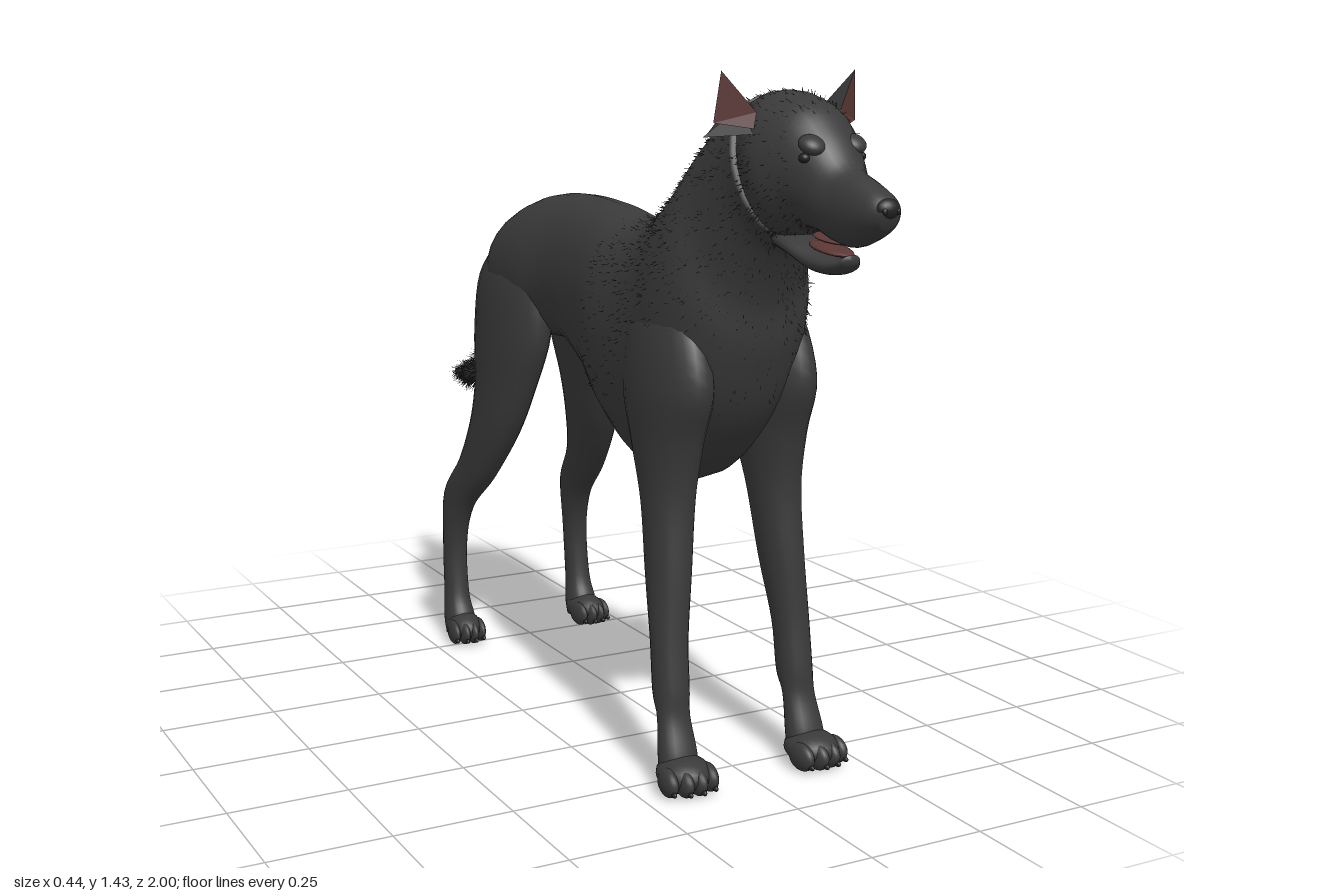
import * as THREE from 'three';

const paint = (name, color, extra = {}) => {
  const m = new THREE.MeshStandardMaterial({ color, ...extra });
  m.name = name;
  return m;
};

// Loft through sections [yA, zA, yB, zB, x, halfWidth]: each ring spans edge point A to edge point B.
function loft(sections, steps = 5, sides = 28) {
  const curve = f => new THREE.CatmullRomCurve3(sections.map(f), false, 'catmullrom', 0.5);
  const edgeA = curve(s => new THREE.Vector3(s[4], s[0], s[1]));
  const edgeB = curve(s => new THREE.Vector3(s[4], s[2], s[3]));
  const width = curve(s => new THREE.Vector3(s[5], 0, 0));
  const rings = (sections.length - 1) * steps, pos = [], idx = [];
  const mids = [];
  for (let i = 0; i <= rings; i++) {
    const t = i / rings, a = edgeA.getPoint(t), b = edgeB.getPoint(t), w = width.getPoint(t).x;
    const mid = a.clone().add(b).multiplyScalar(0.5), half = a.sub(b).multiplyScalar(0.5);
    mids.push(mid);
    for (let j = 0; j < sides; j++) {
      const q = j / sides * Math.PI * 2, c = Math.cos(q), s = Math.sin(q);
      const cx = Math.sign(c) * Math.abs(c) ** 0.88;
      pos.push(mid.x + cx * w, mid.y + half.y * s, mid.z + half.z * s);
    }
  }
  for (let i = 0; i < rings; i++) for (let j = 0; j < sides; j++) {
    const k = (j + 1) % sides, a = i * sides + j, b = i * sides + k;
    idx.push(a, b, a + sides, b, b + sides, a + sides);
  }
  // End caps
  const first = pos.length / 3, last = rings * sides;
  pos.push(...mids[0].toArray(), ...mids[rings].toArray());
  for (let j = 0; j < sides; j++) {
    const k = (j + 1) % sides;
    idx.push(first, k, j, first + 1, last + j, last + k);
  }
  // Turn the winding outward if the signed volume is negative
  let volume = 0;
  const v = n => new THREE.Vector3().fromArray(pos, n * 3);
  for (let i = 0; i < idx.length; i += 3) volume += v(idx[i]).dot(v(idx[i + 1]).cross(v(idx[i + 2])));
  if (volume < 0) idx.reverse();
  const g = new THREE.BufferGeometry();
  g.setAttribute('position', new THREE.Float32BufferAttribute(pos, 3));
  g.setIndex(idx);
  g.computeVertexNormals();
  return g;
}

// Fine hairs scattered over a surface, leaning along a flow direction
function hairs(surface, count, length, flow, keep = () => true) {
  let seed = 7;
  const rnd = () => (seed = (seed * 16807) % 2147483647) / 2147483647;
  const P = surface.attributes.position, N = surface.attributes.normal, ix = surface.index;
  const pos = [], nor = [];
  for (let i = 0; i < count; i++) {
    const f = Math.floor(rnd() * ix.count / 3) * 3, p = new THREE.Vector3();
    let u = rnd(), w = rnd();
    if (u + w > 1) { u = 1 - u; w = 1 - w; }
    [1 - u - w, u, w].forEach((k, c) => p.addScaledVector(new THREE.Vector3().fromBufferAttribute(P, ix.getX(f + c)), k));
    const n = new THREE.Vector3().fromBufferAttribute(N, ix.getX(f));
    if (!keep(p)) continue;
    const jitter = new THREE.Vector3(rnd() - 0.5, rnd() - 0.5, rnd() - 0.5);
    const dir = n.clone().add(flow).add(jitter).normalize();
    const side = dir.clone().cross(jitter).normalize().multiplyScalar(0.0016);
    const tip = p.clone().addScaledVector(dir, length * (0.4 + 0.6 * rnd()));
    const a = p.clone().add(side), b = p.clone().sub(side);
    for (const q of [a, b, tip, b, a, tip]) { pos.push(...q.toArray()); nor.push(...n.toArray()); }
  }
  const g = new THREE.BufferGeometry();
  g.setAttribute('position', new THREE.Float32BufferAttribute(pos, 3));
  g.setAttribute('normal', new THREE.Float32BufferAttribute(nor, 3));
  return g;
}

export function createModel() {
  const model = new THREE.Group();
  model.name = 'dog';
  const coat = paint('black coat', 0x3a3a3a);
  const skin = paint('ear and mouth skin', 0x5a3735, { side: THREE.DoubleSide });
  const dark = paint('nose, eyes and pads', 0x232323);

  const add = (name, geometry, material = coat, parent = model) => {
    const m = new THREE.Mesh(geometry, material);
    m.name = name;
    parent.add(m);
    return m;
  };
  const blob = (name, p, r, material = coat, parent = model, tilt = 0) => {
    const m = add(name, new THREE.SphereGeometry(1, 20, 14), material, parent);
    m.position.set(...p);
    m.scale.set(...r);
    m.rotation.x = tilt;
    return m;
  };

  // Trunk, from rump to base of the neck and up to the skull
  const trunk = loft([
    [1.00, -0.53, 0.90, -0.525, 0, 0.03], [1.04, -0.49, 0.83, -0.49, 0, 0.10],
    [1.09, -0.41, 0.80, -0.40, 0, 0.145], [1.13, -0.29, 0.80, -0.28, 0, 0.145],
    [1.14, -0.16, 0.795, -0.16, 0, 0.12], [1.13, 0.00, 0.725, -0.02, 0, 0.125],
    [1.11, 0.13, 0.635, 0.13, 0, 0.155], [1.13, 0.25, 0.575, 0.27, 0, 0.165],
    [1.165, 0.32, 0.605, 0.40, 0, 0.168], [1.19, 0.355, 0.73, 0.53, 0, 0.168],
    [1.23, 0.405, 0.87, 0.592, 0, 0.155], [1.295, 0.46, 0.98, 0.615, 0, 0.128],
    [1.355, 0.54, 1.08, 0.665, 0, 0.112], [1.385, 0.61, 1.125, 0.71, 0, 0.108],
  ]);
  add('trunk and neck', trunk);
  const head = loft([
    [1.375, 0.59, 1.13, 0.67, 0, 0.09], [1.392, 0.65, 1.12, 0.715, 0, 0.108],
    [1.392, 0.70, 1.13, 0.745, 0, 0.108], [1.37, 0.775, 1.145, 0.775, 0.002, 0.09],
    [1.32, 0.83, 1.14, 0.815, 0.004, 0.07], [1.265, 0.875, 1.125, 0.855, 0.006, 0.053],
    [1.242, 0.93, 1.12, 0.90, 0.008, 0.046], [1.22, 0.975, 1.14, 0.95, 0.01, 0.039],
    [1.20, 0.997, 1.16, 0.985, 0.01, 0.02],
  ]);
  add('head', head);
  add('lower jaw', loft([
    [1.14, 0.70, 1.10, 0.70, 0, 0.05], [1.13, 0.75, 1.09, 0.75, 0, 0.055],
    [1.108, 0.81, 1.068, 0.80, 0.002, 0.046], [1.10, 0.86, 1.066, 0.85, 0.005, 0.036],
    [1.106, 0.885, 1.085, 0.885, 0.006, 0.016],
  ], 4, 20));
  blob('tongue', [0.004, 1.111, 0.82], [0.032, 0.008, 0.058], skin, model, 0.15);
  blob('palate', [0.004, 1.131, 0.83], [0.036, 0.006, 0.05], skin, model, 0.15);
  blob('nose', [0.01, 1.195, 0.98], [0.026, 0.02, 0.019], dark);
  blob('sheath', [0, 0.77, -0.10], [0.022, 0.03, 0.062], coat, model, -0.55);

  // Tail
  const tail = loft([
    [1.065, -0.44, 0.97, -0.48, 0.005, 0.045], [1.02, -0.525, 0.93, -0.51, 0.01, 0.04],
    [0.92, -0.605, 0.85, -0.545, 0.015, 0.04], [0.775, -0.705, 0.715, -0.64, 0.02, 0.04],
    [0.67, -0.82, 0.61, -0.765, 0.02, 0.033], [0.63, -0.90, 0.588, -0.88, 0.02, 0.022],
    [0.608, -0.965, 0.598, -0.965, 0.02, 0.006],
  ], 6, 20);
  add('tail', tail);
  add('tail hair', hairs(tail, 2600, 0.034, new THREE.Vector3(0, -0.5, -0.6), p => p.z < -0.53));
  add('body hair', hairs(trunk, 4500, 0.014, new THREE.Vector3(0, -0.4, -0.8), p => p.z > 0.1 && p.y > 0.75));
  add('head hair', hairs(head, 1500, 0.014, new THREE.Vector3(0, -0.3, -0.8), p => p.z < 0.8));

  // Paired parts
  for (const s of [1, -1]) {
    const sideName = s > 0 ? 'left' : 'right';
    const limb = (name, sections) => add(sideName + name,
      loft(sections.map(q => [...q.slice(0, 4), q[4] * s, q[5]]), 5, 22));

    // Front leg with shoulder
    limb('FrontLeg', [
      [1.04, 0.42, 1.02, 0.34, 0.10, 0.02], [0.96, 0.52, 0.92, 0.29, 0.115, 0.052],
      [0.82, 0.575, 0.79, 0.29, 0.12, 0.066], [0.70, 0.535, 0.67, 0.335, 0.122, 0.06],
      [0.58, 0.512, 0.56, 0.38, 0.126, 0.051], [0.43, 0.52, 0.42, 0.41, 0.135, 0.044],
      [0.30, 0.528, 0.29, 0.447, 0.145, 0.038], [0.20, 0.54, 0.185, 0.463, 0.148, 0.037],
      [0.14, 0.545, 0.14, 0.488, 0.15, 0.035], [0.07, 0.57, 0.06, 0.505, 0.152, 0.042],
      [0.025, 0.575, 0.02, 0.51, 0.153, 0.04],
    ]);
    // Hind leg with thigh, hock and metatarsus
    limb('HindLeg', [
      [1.06, -0.32, 1.02, -0.44, 0.08, 0.03], [0.95, -0.22, 0.93, -0.52, 0.09, 0.06],
      [0.81, -0.205, 0.80, -0.53, 0.10, 0.065], [0.68, -0.25, 0.67, -0.505, 0.115, 0.055],
      [0.56, -0.31, 0.57, -0.51, 0.13, 0.047], [0.44, -0.40, 0.47, -0.55, 0.148, 0.036],
      [0.345, -0.50, 0.37, -0.625, 0.162, 0.03], [0.24, -0.542, 0.24, -0.617, 0.168, 0.028],
      [0.12, -0.535, 0.11, -0.603, 0.17, 0.03], [0.06, -0.51, 0.05, -0.595, 0.17, 0.037],
      [0.02, -0.51, 0.015, -0.585, 0.17, 0.035],
    ]);

    // Paws with four toes, claws and pads
    for (const [name, x, z, w] of [['FrontPaw', 0.153, 0.565, 0.056], ['HindPaw', 0.17, -0.525, 0.042]]) {
      const paw = new THREE.Group();
      paw.name = sideName + name;
      paw.position.set(x * s, 0, z);
      paw.rotation.y = s * 0.1;
      model.add(paw);
      blob('foot', [0, 0.038, 0], [w, 0.035, 0.062], coat, paw);
      blob('pad', [0, 0.012, 0], [w * 0.7, 0.012, 0.045], dark, paw);
      for (let i = 0; i < 4; i++) {
        const off = (i - 1.5) / 1.5, front = 0.04 - 0.018 * Math.abs(off);
        blob('toe', [off * w * 0.78, 0.031, front], [w * 0.31, 0.029, 0.037], coat, paw);
        blob('claw', [off * w * 0.8, 0.018, front + 0.033], [0.005, 0.006, 0.009], dark, paw);
      }
    }

    // Eye and brow
    blob(sideName + 'Eye', [s * 0.061, 1.277, 0.823], [0.01, 0.009, 0.011], dark);
    blob(sideName + 'Brow', [s * 0.044, 1.30, 0.822], [0.026, 0.016, 0.026], coat, model, 0.5);
    blob(sideName + 'Nostril', [s * 0.014 + 0.01, 1.192, 0.994], [0.005, 0.006, 0.004], dark);

    // Ear: upright point with bare inner face, and a folded flap behind it
    const plate = (pts, order) => {
      const g = new THREE.BufferGeometry();
      g.setAttribute('position', new THREE.Float32BufferAttribute(pts.flatMap(p => [p[0] * s, p[1], p[2]]), 3));
      g.setIndex(s > 0 ? order : [...order].reverse());
      const flat = g.toNonIndexed();
      flat.computeVertexNormals();
      return flat;
    };
    const tip = [0.147, 1.43, 0.675], outer = [0.157, 1.335, 0.665], inner = [0.092, 1.355, 0.71];
    const low = [0.10, 1.325, 0.715], back = [0.095, 1.345, 0.62];
    add(sideName + 'EarBack', plate([tip, outer, inner, low, back], [0, 1, 4, 0, 4, 2, 1, 3, 4]));
    add(sideName + 'EarInner', plate([tip, outer, inner, low], [0, 2, 1, 2, 3, 1]), skin);
    const flap = [[0.10, 1.37, 0.68], [0.10, 1.315, 0.71], [0.168, 1.308, 0.645], [0.125, 1.305, 0.58], [0.09, 1.36, 0.60]];
    add(sideName + 'EarFlap', plate(flap, [0, 1, 2, 0, 2, 3, 0, 3, 4, 1, 3, 2, 1, 4, 3]));
  }
  return model;
}
